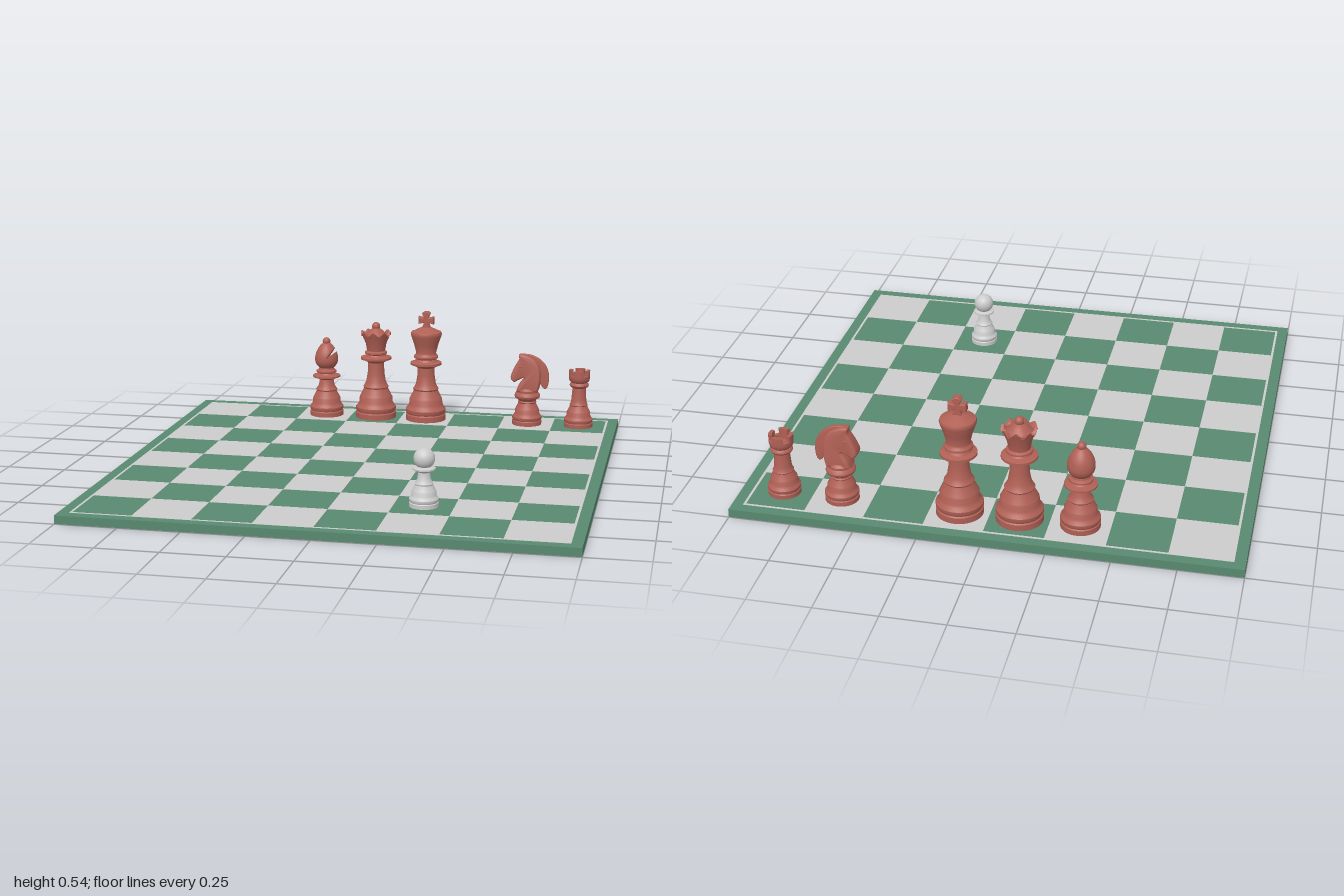
import * as THREE from 'three';
import { toCreasedNormals } from 'three/addons/utils/BufferGeometryUtils.js';

const GREY = new THREE.MeshStandardMaterial({ color: 0xcccccc });
const GREEN = new THREE.MeshStandardMaterial({ color: 0x58896f });
const RED = new THREE.MeshStandardMaterial({ color: 0xb06055 });
const CELL = 0.2365, TOP = 0.036;

function add(parent, name, geometry, material, x = 0, y = 0, z = 0) {
  const mesh = new THREE.Mesh(geometry, material);
  mesh.name = name;
  mesh.position.set(x, y, z);
  parent.add(mesh);
  return mesh;
}

// Pieces are modelled in hundredths of a unit and stand on the board
function piece(name, x, z) {
  const g = new THREE.Group();
  g.name = name;
  g.position.set(x, TOP, z);
  g.scale.setScalar(0.01);
  return g;
}

const lathe = (pts) => new THREE.LatheGeometry(pts.map(([r, y]) => new THREE.Vector2(r, y)), 48);
const turned = (pts) => toCreasedNormals(lathe(pts), 0.6);

// Moulded foot shared by every piece, scaled by its radius
const foot = (r) => [[1, 0], [1, 0.27], [0.95, 0.32], [1, 0.42], [1, 0.55], [0.9, 0.68], [0.83, 0.8],
  [0.82, 1.05], [0.78, 1.12], [0.64, 1.4], [0.6, 1.5], [0.64, 1.57], [0.58, 1.65]].map(([a, b]) => [a * r, b * r]);

function splineShape(pts) {
  const v = pts.map(([x, y]) => new THREE.Vector2(x, y));
  return new THREE.Shape().moveTo(v[0].x, v[0].y).splineThru(v.slice(1));
}

function slab(shape, depth, bevel, curveSegments = 3) {
  const geo = new THREE.ExtrudeGeometry(shape, { depth, curveSegments, bevelEnabled: bevel > 0,
    bevelThickness: bevel, bevelSize: bevel * 0.7, bevelOffset: -bevel * 0.7, bevelSegments: 3 });
  return geo.translate(0, 0, -depth / 2);
}

function board() {
  const g = new THREE.Group();
  g.name = 'board';
  add(g, 'boardSlab', new THREE.BoxGeometry(2, TOP - 0.002, 2), GREEN, 0, TOP / 2, 0);
  // Light squares inlaid through the slab
  const square = new THREE.BoxGeometry(CELL, TOP, CELL);
  for (let i = 0; i < 8; i++)
    for (let j = 0; j < 8; j++)
      if ((i + j) % 2 === 0) add(g, 'lightSquare', square, GREY, (i - 3.5) * CELL, TOP / 2, (j - 3.5) * CELL);
  // Thin border line
  for (const s of [-1, 1]) {
    add(g, 'borderLine', new THREE.BoxGeometry(1.912, 0.002, 0.01), GREY, 0, TOP - 0.001, s * 0.951);
    add(g, 'borderLine', new THREE.BoxGeometry(0.01, 0.002, 1.892), GREY, s * 0.951, TOP - 0.001, 0);
  }
  return g;
}

function king(x, z) {
  const g = piece('king', x, z);
  add(g, 'kingBody', turned([...foot(9.3), [4.6, 17], [4, 21], [3.9, 24.5], [5.2, 25.2], [7.2, 26], [7.2, 27],
    [5.2, 27.6], [4.6, 28.6], [5.6, 29.2], [5.6, 30], [4.8, 30.8], [4.6, 31.5], [5.6, 35.5], [7, 39.5], [7.2, 40.5],
    [6.9, 41.3], [6, 41.6], [2.8, 43.2], [1.8, 43.6], [0, 43.8]]), RED);
  // Cross with flared arms
  const cross = new THREE.Shape([[-1.9, 43.2], [1.9, 43.2], [1, 45.6], [3.6, 45], [3.6, 48.4], [1, 47.8], [1.9, 50],
    [0.8, 50.8], [-0.8, 50.8], [-1.9, 50], [-1, 47.8], [-3.6, 48.4], [-3.6, 45], [-1, 45.6]].map((p) => new THREE.Vector2(...p)));
  add(g, 'kingCross', slab(cross, 2.4, 0.5), RED);
  return g;
}

function queen(x, z) {
  const g = piece('queen', x, z);
  const crown = lathe([[4.2, 31.5], [4.8, 35], [6.6, 39.2], [7, 40.8], [5.9, 40.8], [5, 39.2], [3.2, 41], [1.5, 42.2], [0, 42.4]]);
  // Scalloped rim
  const p = crown.attributes.position;
  for (let i = 0; i < p.count; i++) {
    const r = Math.hypot(p.getX(i), p.getZ(i));
    if (r > 5.5 && p.getY(i) > 40)
      p.setY(i, p.getY(i) - 1.1 * (1 - Math.cos(8 * Math.atan2(p.getX(i), p.getZ(i)))));
  }
  add(g, 'queenBody', turned([...foot(9.3), [4.6, 17], [3.9, 21], [3.7, 26], [5, 26.8], [7.1, 27.6], [7.1, 28.5],
    [4.8, 29.2], [4.4, 29.8], [5.2, 30.3], [5.2, 31], [4.2, 31.6]]), RED);
  add(g, 'queenCrown', toCreasedNormals(crown, 0.6), RED);
  add(g, 'queenBall', new THREE.SphereGeometry(1.9, 24, 16), RED, 0, 43, 0);
  return g;
}

// Pointed egg with a slanted radial slit, built from slices along z
function slitHead(cy, R, down, up, slitAngle, halfWidth, depth) {
  const radius = (y) => {
    const u = y < 0 ? -y / down : y / up;
    return u >= 1 ? 0 : R * Math.pow(1 - u * u, y < 0 ? 0.5 : 0.72);
  };
  const reach = (phi, z) => {
    let lo = 0, hi = up + R;
    for (let k = 0; k < 30; k++) {
      const m = (lo + hi) / 2;
      if (Math.hypot(Math.cos(phi) * m, z) < radius(Math.sin(phi) * m)) lo = m; else hi = m;
    }
    return lo;
  };
  const N = 56, M = 36, W = N + 4, pos = [], idx = [];
  for (let j = 0; j <= M; j++) {
    const z = R * Math.sin((j / M - 0.5) * Math.PI);
    for (let i = 0; i < W; i++) {
      const t = i <= N ? i / N : 1;
      let phi = slitAngle + halfWidth + t * (2 * Math.PI - 2 * halfWidth);
      if (i > N) phi += (i - N - 1) * halfWidth;
      const d = i > N ? Math.min(depth, reach(phi, z)) : reach(phi, z);
      pos.push(Math.cos(phi) * d, cy + Math.sin(phi) * d, z);
    }
  }
  for (let j = 0; j < M; j++)
    for (let i = 0; i < W; i++) {
      const a = j * W + i, b = j * W + (i + 1) % W;
      idx.push(a, b, a + W, b, b + W, a + W);
    }
  const geo = new THREE.BufferGeometry();
  geo.setAttribute('position', new THREE.Float32BufferAttribute(pos, 3));
  geo.setIndex(idx);
  return toCreasedNormals(geo, 0.7);
}

function bishop(x, z) {
  const g = piece('bishop', x, z);
  add(g, 'bishopBody', turned([...foot(7.8), [3.7, 14.2], [3.2, 17], [4.4, 17.5], [6.4, 18.2], [6.4, 18.9], [4.2, 19.5],
    [3.8, 20], [4.7, 20.5], [4.7, 21.2], [3.6, 21.8], [3.4, 22.6]]), RED);
  add(g, 'bishopHead', slitHead(26.5, 5.4, 5, 8.6, 0.8, 0.15, 0.8), RED);
  add(g, 'bishopBall', new THREE.SphereGeometry(1.8, 24, 16), RED, 0, 35, 0);
  return g;
}

function rook(x, z) {
  const g = piece('rook', x, z);
  add(g, 'rookBody', turned([...foot(6.5), [3.4, 12.5], [3, 18], [4, 18.6], [4.4, 19.3], [4.2, 20], [3.6, 20.5],
    [4.5, 21.4], [4.8, 22.6], [4.8, 23.8], [3.3, 23.8], [3.3, 22], [0, 22]]), RED);
  // Battlements
  const a = 0.5;
  const sector = new THREE.Shape().absarc(0, 0, 4.8, -a, a, false).absarc(0, 0, 3.3, a, -a, true);
  const merlon = new THREE.ExtrudeGeometry(sector, { depth: 2.5, bevelEnabled: false, curveSegments: 8 });
  merlon.rotateX(-Math.PI / 2);
  for (let i = 0; i < 4; i++)
    add(g, 'merlon', toCreasedNormals(merlon, 0.6), RED, 0, 23.7, 0).rotation.y = i * Math.PI / 2;
  return g;
}

function knight(x, z) {
  const g = piece('knight', x, z);
  add(g, 'knightBase', turned([...foot(6.7), [4.4, 11.8], [5.6, 12.5], [5.9, 13.4], [5.6, 14.3], [4.8, 15],
    [4.9, 16], [4, 17], [0, 17.6]]), RED);
  // Neck and head, wider toward the shoulders
  const head = slab(splineShape([[-4.9, 15.5], [-3.8, 18.7], [-1.3, 21.9], [-4.3, 20.6], [-6, 19.8], [-7.5, 21.3],
    [-7.3, 23.5], [-5.4, 27.8], [-3.9, 30.3], [-4, 32.4], [-0.5, 32.2], [3.5, 30], [5.8, 26], [6, 20], [4.9, 15.5]]), 2.6, 1.3);
  const p = head.attributes.position;
  for (let i = 0; i < p.count; i++)
    p.setZ(i, p.getZ(i) * THREE.MathUtils.mapLinear(p.getY(i), 15.5, 32.5, 1.55, 0.8));
  add(g, 'knightHead', toCreasedNormals(head, 0.8), RED);
  // Thin mane
  add(g, 'knightMane', toCreasedNormals(slab(splineShape([[-3.5, 32.6], [1, 32.5], [5.5, 30.5], [8.6, 27], [9.8, 22.5],
    [9.3, 18], [8, 16.7], [6.3, 18.5], [4, 24], [0, 29]]), 1, 0.4), 0.7), RED);
  for (const s of [-1, 1]) {
    add(g, 'knightEye', new THREE.SphereGeometry(0.6, 12, 8), RED, -3.2, 27, s * 2.4);
    add(g, 'knightEar', new THREE.ConeGeometry(0.9, 3, 12), RED, -3, 31.2, s * 1.1);
  }
  return g;
}

function pawn(x, z) {
  const g = piece('pawn', x, z);
  add(g, 'pawnBody', turned([...foot(5.8), [2.6, 11], [2.3, 13.6], [3.4, 14.1], [4.5, 14.7], [4.5, 15.3],
    [2.8, 15.9], [2.4, 16.6]]), GREY);
  add(g, 'pawnHead', new THREE.SphereGeometry(4.2, 32, 24), GREY, 0, 19, 0);
  return g;
}

export function createModel() {
  const model = new THREE.Group();
  model.name = 'chessBoardWithPieces';
  const at = (col) => (col - 3.5) * CELL, back = at(0);
  model.add(board(), bishop(at(2), back), queen(at(3), back), king(at(4), back),
    knight(at(6), back), rook(at(7), back), pawn(at(5), at(6)));
  return model;
}
